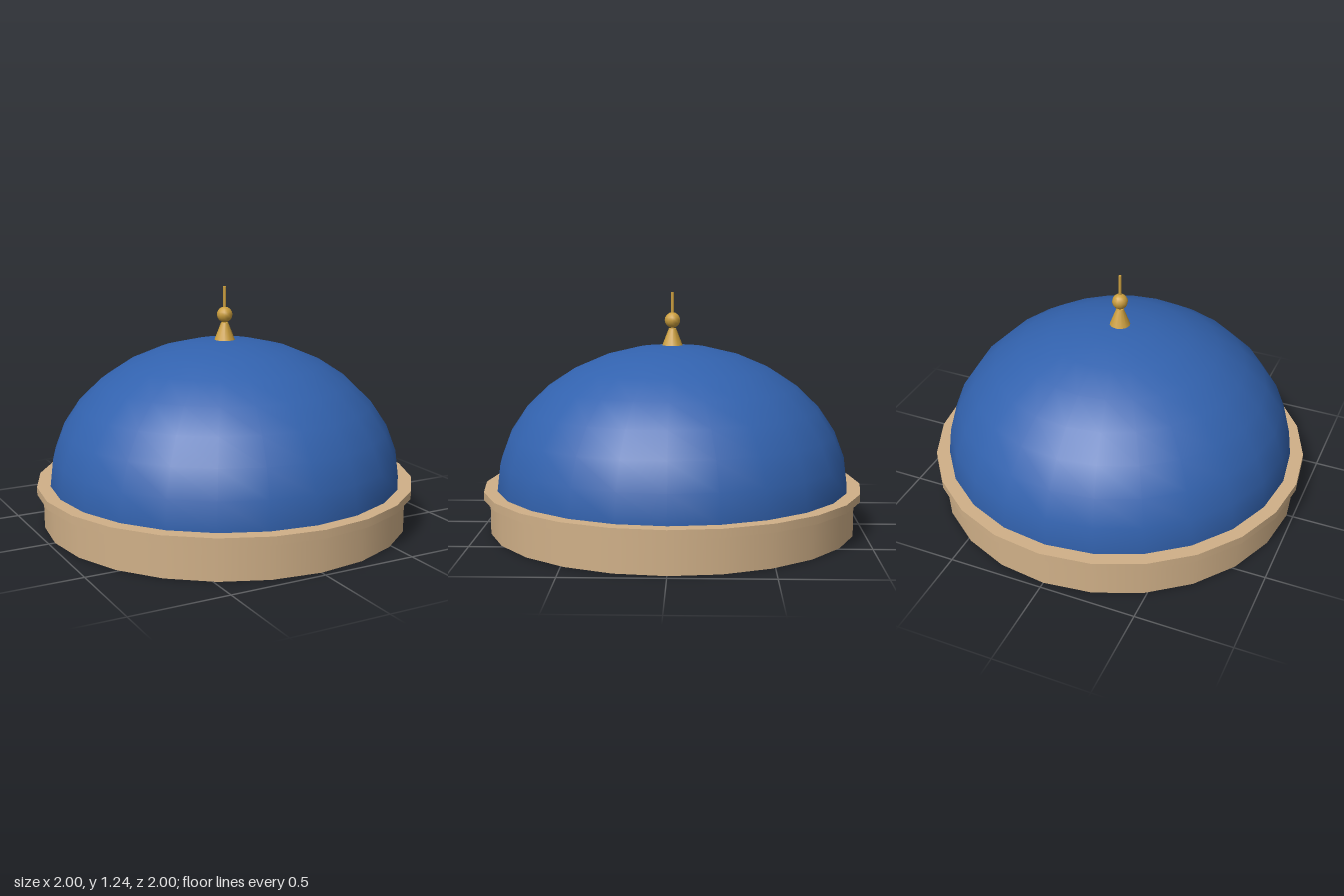
import * as THREE from 'three';

export function createModel() {
  const model = new THREE.Group();
  model.name = 'dome';

  const stone = new THREE.MeshStandardMaterial({ color: 0xd0b088 });
  stone.name = 'tan stone';
  const blue = new THREE.MeshStandardMaterial({ color: 0x3262ae });
  blue.name = 'blue roof';
  const gold = new THREE.MeshStandardMaterial({ color: 0xcc9f3e });
  gold.name = 'gold';

  const SIDES = 24;

  function add(name, geometry, material, y) {
    const mesh = new THREE.Mesh(geometry, material);
    mesh.name = name;
    mesh.position.y = y;
    model.add(mesh);
  }

  // Upright round part standing between two heights
  function addRound(name, rTop, rBottom, y0, y1, sides, material) {
    const geometry = new THREE.CylinderGeometry(rTop, rBottom, y1 - y0, sides);
    add(name, geometry, material, (y0 + y1) / 2);
  }

  // Drum and projecting cornice
  addRound('drum', 0.967, 0.967, 0, 0.18, SIDES, stone);
  addRound('cornice', 1, 1, 0.18, 0.222, SIDES, stone);

  // Flattened half-sphere shell
  const shell = new THREE.SphereGeometry(0.93, SIDES, 8, 0, Math.PI * 2, 0, Math.PI / 2);
  shell.scale(1, 0.743 / 0.93, 1);
  add('domeShell', shell, blue, 0.222);

  // Finial: flared foot, ball and spike
  addRound('finialFoot', 0.019, 0.056, 0.955, 1.05, 12, gold);
  add('finialBall', new THREE.SphereGeometry(0.041, 12, 8), gold, 1.093);
  addRound('finialSpike', 0.008, 0.008, 1.04, 1.24, 8, gold);

  return model;
}
